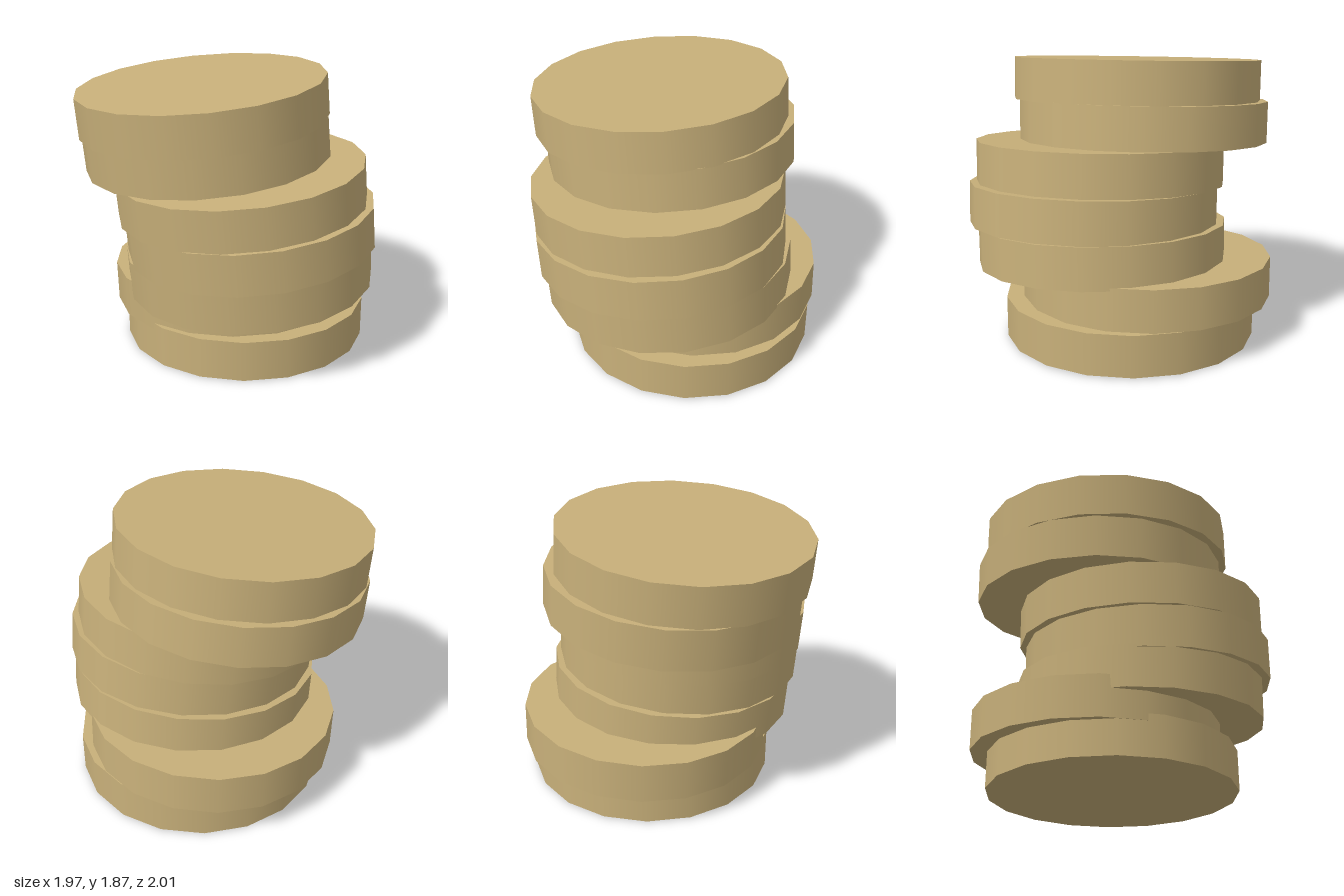
import * as THREE from 'three';

export function createModel() {
  const group = new THREE.Group();
  const gold = new THREE.MeshStandardMaterial({ color: 0xc8b07a });
  gold.name = 'dull gold';

  // One 18-sided disc shared by the whole leaning stack
  const disc = new THREE.CylinderGeometry(0.83, 0.83, 0.272, 18);

  // Bottom to top: centre x, y, z, pitch (about x), lean (about z), turn in degrees
  const stack = [
    [0.155, 0.141, -0.075, 0, 0.004, 1],
    [0.105, 0.391, -0.18, 0.005, 0.033, 1.5],
    [0.12, 0.607, 0.12, 0.025, 0.072, 12],
    [0.105, 0.871, 0.175, 0, 0.087, -5],
    [0.048, 1.141, 0.14, 0, 0.09, -7.5],
    [-0.105, 1.403, -0.125, 0, 0.09, -2],
    [-0.152, 1.668, -0.075, 0, 0.088, 7.7],
  ];

  stack.forEach(([x, y, z, pitch, lean, turn], i) => {
    const coin = new THREE.Mesh(disc, gold);
    coin.name = `coin${i + 1}`;
    coin.position.set(x, y, z);
    // Turn about its own axis first, then tilt
    coin.rotation.set(pitch, 0, lean);
    coin.rotateY(THREE.MathUtils.degToRad(turn));
    group.add(coin);
  });

  return group;
}
